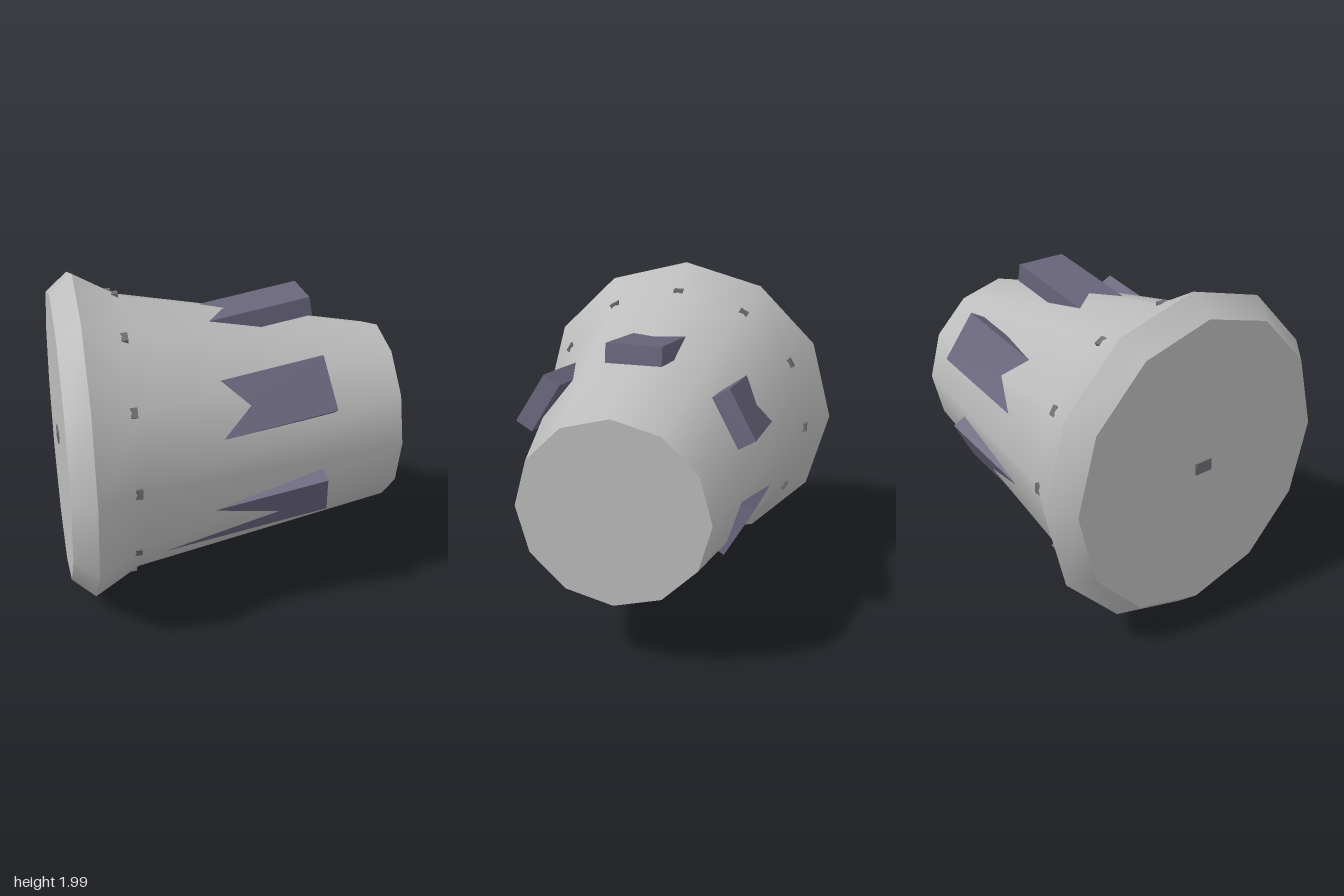
import * as THREE from 'three';
import { toCreasedNormals } from 'three/addons/utils/BufferGeometryUtils.js';

const SIDES = 12;
const AXIS_HEIGHT = 0.996;

export function createModel() {
  const model = new THREE.Group();
  model.name = 'flaredDrum';

  const shellGrey = new THREE.MeshStandardMaterial({ color: 0xbdbdbd });
  shellGrey.name = 'shellGrey';
  const finSlate = new THREE.MeshStandardMaterial({ color: 0x67637a });
  finSlate.name = 'finSlate';
  const studGrey = new THREE.MeshStandardMaterial({ color: 0x6e6c72 });
  studGrey.name = 'studGrey';

  const add = (parent, name, geometry, material) => {
    const mesh = new THREE.Mesh(geometry, material);
    mesh.name = name;
    parent.add(mesh);
    return mesh;
  };

  // Everything is arranged around a horizontal axis along x
  const drum = new THREE.Group();
  drum.name = 'drum';
  drum.position.y = AXIS_HEIGHT;
  model.add(drum);

  // Tapered twelve-sided shell with a flared rim: radius, position along axis
  const profile = [
    [0, -0.99], [0.88, -0.99], [0.995, -0.855], [0.842, -0.58], [0.555, 1], [0, 1],
  ].map(([r, x]) => new THREE.Vector2(r, x));
  const shell = new THREE.LatheGeometry(profile, SIDES);
  shell.rotateZ(-Math.PI / 2);
  add(drum, 'shell', toCreasedNormals(shell, 0.65), shellGrey);

  // Six long fins around the shell, all tilted the same way and partly sunk in
  const finGeometry = new THREE.BoxGeometry(1.14, 0.112, 0.325);
  for (let i = 0; i < 6; i++) {
    const angle = (i * Math.PI) / 3;
    const fin = add(drum, 'fin', finGeometry, finSlate);
    fin.position.set(-0.04, 0.662 * Math.cos(angle), 0.662 * Math.sin(angle));
    fin.rotation.set(angle, 0, THREE.MathUtils.degToRad(10.2), 'ZYX');
  }

  // Ring of small studs behind the rim
  const studGeometry = new THREE.BoxGeometry(0.04, 0.05, 0.058);
  for (let i = 0; i < SIDES; i++) {
    const angle = (i * 2 * Math.PI) / SIDES;
    const stud = add(drum, 'stud', studGeometry, studGrey);
    stud.position.set(-0.618, 0.845 * Math.cos(angle), 0.845 * Math.sin(angle));
    stud.rotation.x = angle;
  }

  // Small plate at the centre of the wide end
  const plate = add(drum, 'endPlate', new THREE.BoxGeometry(0.02, 0.07, 0.118), studGrey);
  plate.position.x = -0.99;

  return model;
}
